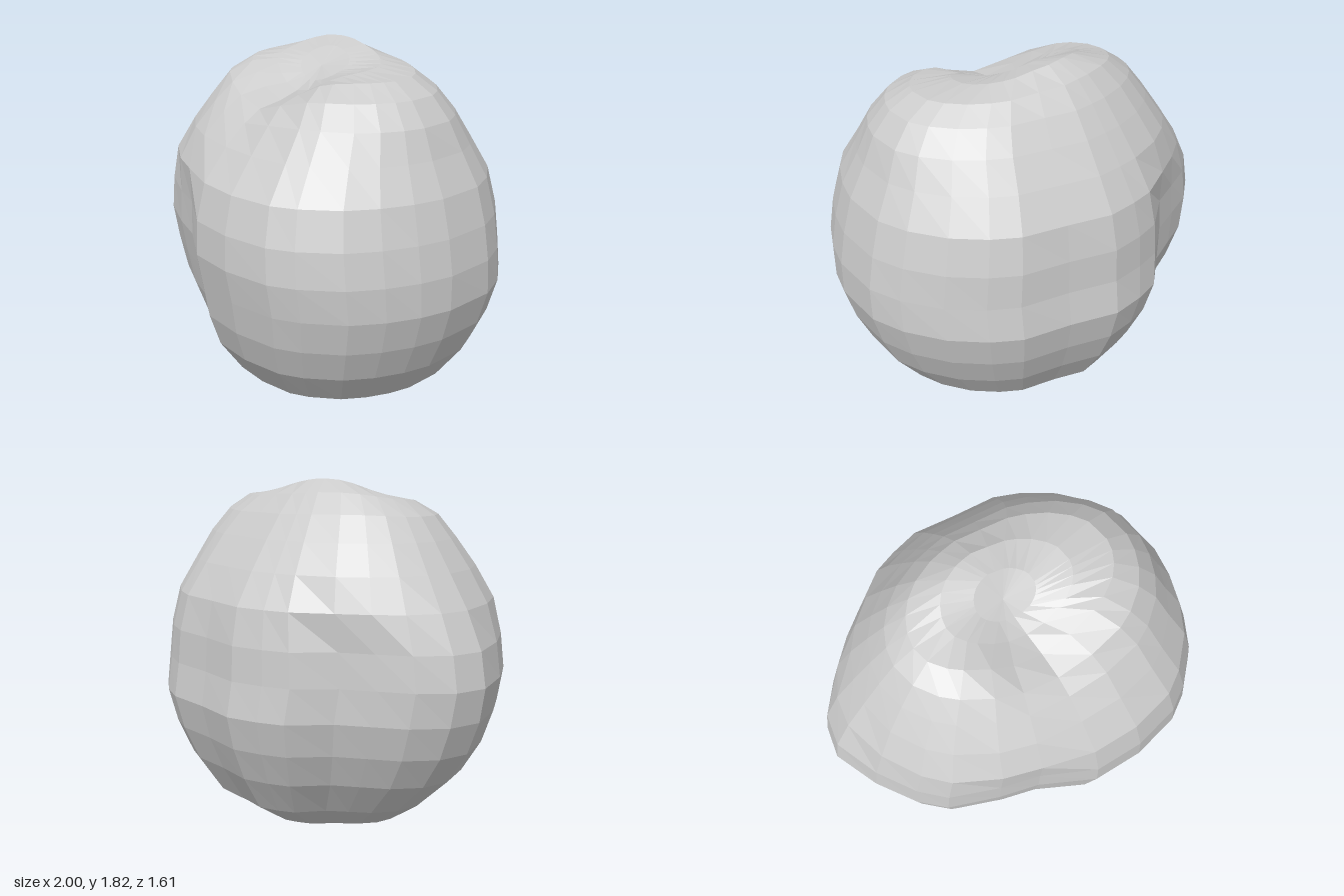
import * as THREE from 'three';

// Plan outline of the boulder [x, z], clockwise seen from above
const OUTLINE = [
  [-1, 0], [-0.97, -0.17], [-0.85, -0.32], [-0.7, -0.42], [-0.55, -0.52], [-0.4, -0.7], [-0.27, -0.76], [-0.1, -0.81],
  [0.15, -0.78], [0.4, -0.77], [0.55, -0.71], [0.72, -0.6], [0.87, -0.44], [0.96, -0.28],
  [1, 0], [0.98, 0.17], [0.93, 0.34], [0.85, 0.5], [0.7, 0.66], [0.58, 0.74], [0.33, 0.8],
  [0.07, 0.8], [-0.2, 0.67], [-0.4, 0.62], [-0.65, 0.53], [-0.77, 0.42], [-0.9, 0.23],
];

// Height and reach of each layer: [y, -x, +x, -z, +z]
const LAYERS = [
  [0.02, 0.24, 0.23, 0.24, 0.2],
  [0.08, 0.4, 0.5, 0.41, 0.38],
  [0.2, 0.58, 0.73, 0.59, 0.55],
  [0.38, 0.78, 0.87, 0.7, 0.68],
  [0.55, 0.9, 0.95, 0.77, 0.74],
  [0.72, 0.97, 1.0, 0.81, 0.77],
  [0.89, 1.0, 1.0, 0.78, 0.8],
  [1.06, 0.97, 0.97, 0.77, 0.79],
  [1.24, 0.88, 0.92, 0.73, 0.74],
  [1.4, 0.77, 0.84, 0.63, 0.61],
  [1.54, 0.67, 0.78, 0.53, 0.5],
  [1.65, 0.58, 0.69, 0.44, 0.41],
  [1.72, 0.47, 0.57, 0.35, 0.28],
  [1.74, 0.3, 0.36, 0.23, 0.17],
  [1.74, 0.14, 0.17, 0.11, 0.08],
];

const { smoothstep } = THREE.MathUtils;
const bump = (x, z, cx, cz, sx, sz) => Math.exp(-(((x - cx) / sx) ** 2) - ((z - cz) / sz) ** 2);

// Summit ridge towards the back, with a hollow running down in front of it
function crown(x, y, z) {
  const weight = smoothstep(y, 1.25, 1.65);
  const ridge = 0.09 * bump(x, z, -0.1, -0.18, 0.3, 0.17);
  const hollow = 0.15 * bump(x, z, 0.03, 0.25, 0.24, 0.26);
  return y + weight * (ridge - hollow);
}

function boulderGeometry() {
  const n = OUTLINE.length;
  const pos = [];
  const index = [];
  for (const [y, left, right, back, front] of LAYERS) {
    const rounding = smoothstep(y, 1.0, 1.45);
    for (const [ox, oz] of OUTLINE) {
      // The side hollows fill out to an ellipse towards the top
      const fill = Math.max(1, 1 / Math.hypot(ox, oz / 0.8));
      const s = 1 + rounding * (fill - 1);
      const x = s * ox * (ox < 0 ? left : right);
      const z = s * oz * (oz < 0 ? back / 0.81 : front / 0.8);
      pos.push(x, crown(x, y, z), z);
    }
  }
  const bottom = pos.length / 3;
  pos.push(0, 0, -0.1);
  const top = bottom + 1;
  pos.push(0, crown(0, 1.74, 0), 0);

  // Skin between layers, then close both ends
  const last = (LAYERS.length - 1) * n;
  for (let j = 0; j < n; j++) {
    const k = (j + 1) % n;
    for (let r = 0; r < last; r += n) {
      const a = r + j, b = r + k, c = a + n, d = b + n;
      index.push(a, c, d, a, d, b);
    }
    index.push(bottom, j, k);
    index.push(top, last + k, last + j);
  }
  const geo = new THREE.BufferGeometry();
  geo.setAttribute('position', new THREE.Float32BufferAttribute(pos, 3));
  geo.setIndex(index);
  geo.computeVertexNormals();
  return geo;
}

export function createModel() {
  const model = new THREE.Group();
  model.name = 'rock';
  const boulder = new THREE.Mesh(
    boulderGeometry(),
    new THREE.MeshStandardMaterial({ color: 0xcccccc, flatShading: true }),
  );
  boulder.name = 'boulder';
  model.add(boulder);
  return model;
}
